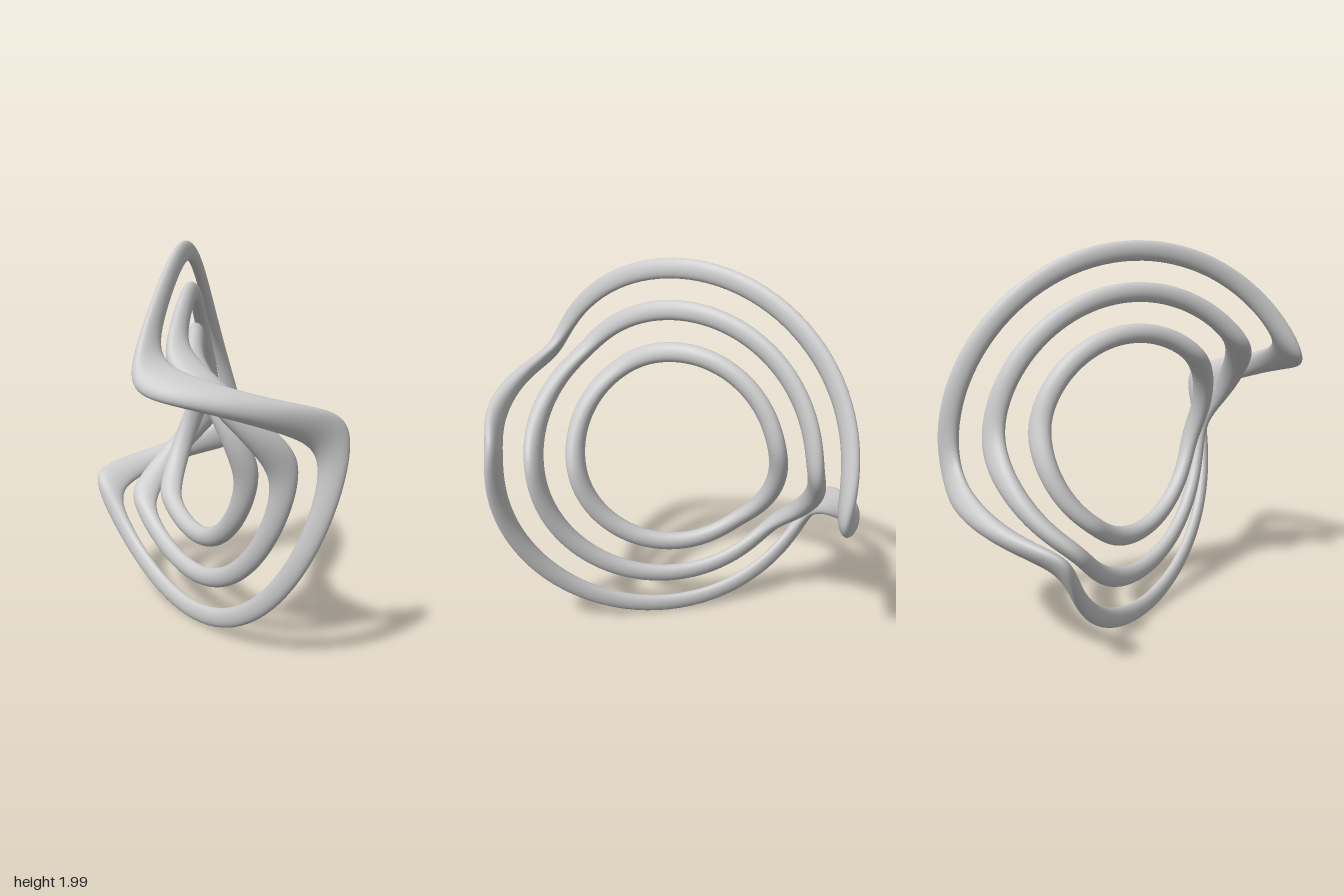
import * as THREE from 'three';

const TUBE = 0.05;   // tube radius
const DEG = Math.PI / 180;

// Maps a point of a flat ring (radius R, angle u, offset h off its plane)
// onto a twisted saddle that keeps its distance from the centre.
function warp(R, u, h) {
  const x = -0.4 * Math.pow(R / 0.95, 2.4) * Math.sin(2 * u) + h;
  const r = Math.sqrt(R * R - x * x);
  // Uneven spacing of the lobes around the ring, in degrees
  const sway = -16.5 + 2.5 * Math.cos(2 * u) + 3.7 * Math.sin(2 * u)
    + 1.5 * Math.cos(4 * u) + 4 * Math.sin(4 * u);
  const angle = u - 1.13 * x + sway * DEG;
  return [x, 1 + r * Math.cos(angle), r * Math.sin(angle)];
}

// Closed tube around a warped ring, with shared vertices for smooth normals.
function warpedRing(radius, segments = 240, sides = 32) {
  const positions = [];
  const indices = [];
  for (let i = 0; i < segments; i++) {
    const u = (i / segments) * Math.PI * 2;
    const iNext = (i + 1) % segments;
    for (let j = 0; j < sides; j++) {
      const v = (j / sides) * Math.PI * 2;
      const jNext = (j + 1) % sides;
      positions.push(...warp(radius + TUBE * Math.cos(v), u, TUBE * Math.sin(v)));
      const a = i * sides + j;
      const b = iNext * sides + j;
      const c = iNext * sides + jNext;
      const d = i * sides + jNext;
      indices.push(a, b, c, a, c, d);
    }
  }
  const geometry = new THREE.BufferGeometry();
  geometry.setAttribute('position', new THREE.Float32BufferAttribute(positions, 3));
  geometry.setIndex(indices);
  geometry.computeVertexNormals();
  return geometry;
}

export function createModel() {
  const group = new THREE.Group();
  group.name = 'saddleRings';
  const material = new THREE.MeshStandardMaterial({ color: 0xcccccc });

  // Three nested rings
  const rings = { outerRing: 0.95, middleRing: 0.745, innerRing: 0.535 };
  for (const [name, radius] of Object.entries(rings)) {
    const mesh = new THREE.Mesh(warpedRing(radius), material);
    mesh.name = name;
    group.add(mesh);
  }
  return group;
}
